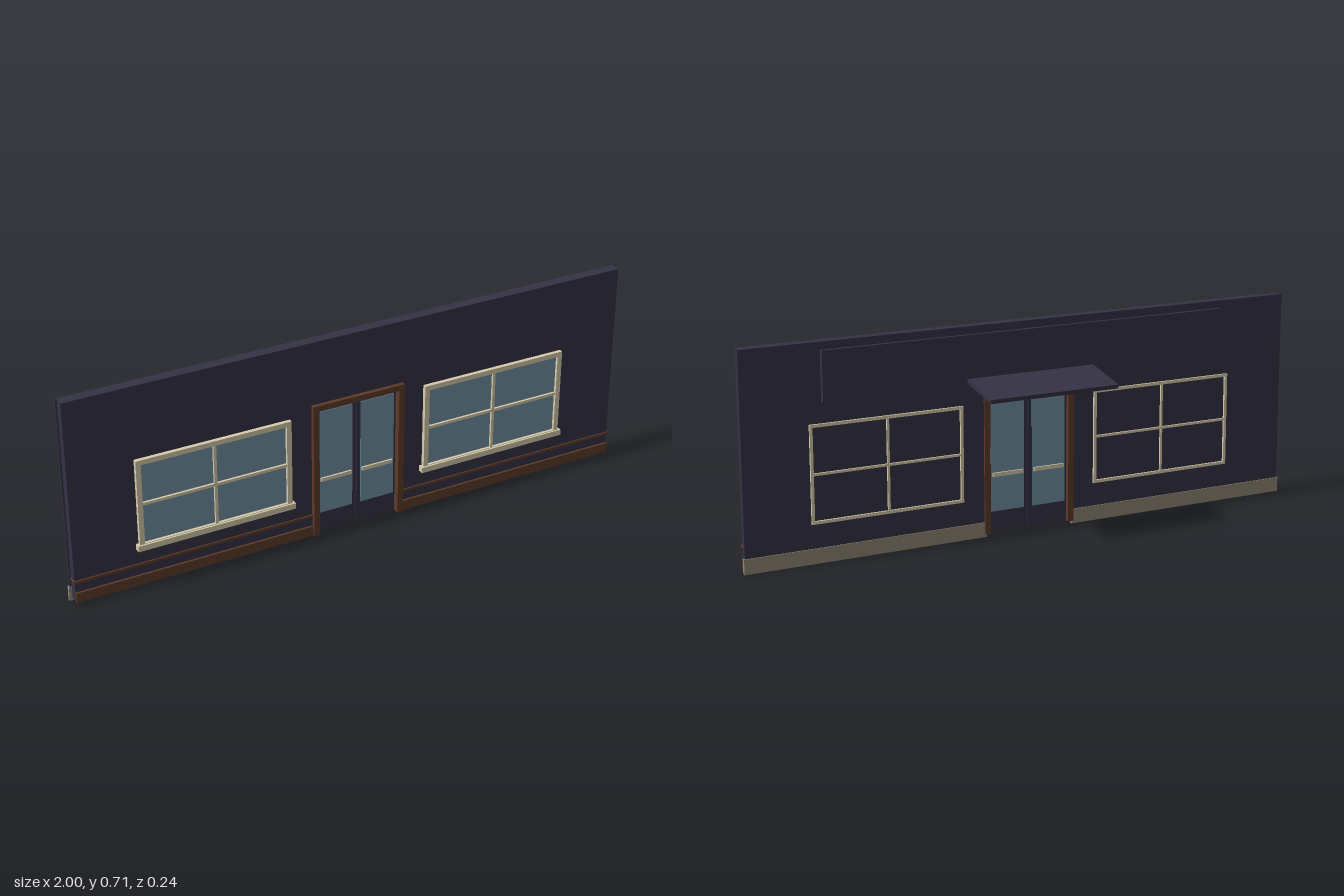
import * as THREE from 'three';

const mat = (name, color) => {
  const m = new THREE.MeshStandardMaterial({ color });
  m.name = name;
  return m;
};

export function createModel() {
  const wall = mat('dark wall', 0x343244);
  const brown = mat('brown wood', 0x5c3a28);
  const cream = mat('cream trim', 0xd6cbac);
  const glass = mat('blue glass', 0x7492a6);
  const stone = mat('stone base', 0x8f8674);

  const root = new THREE.Group();
  root.name = 'storefrontWall';

  // Box given by its limits on each axis
  const box = (parent, name, m, x0, x1, y0, y1, z0, z1) => {
    const mesh = new THREE.Mesh(new THREE.BoxGeometry(x1 - x0, y1 - y0, z1 - z0), m);
    mesh.position.set((x0 + x1) / 2, (y0 + y1) / 2, (z0 + z1) / 2);
    mesh.name = name;
    parent.add(mesh);
    return mesh;
  };
  const group = (name) => {
    const g = new THREE.Group();
    g.name = name;
    root.add(g);
    return g;
  };

  // Wall layers with the door opening cut out of the bottom edge
  const wallLayer = (name, w, z0, z1) => {
    const pts = [[-w, 0.01], [-0.15, 0.01], [-0.15, 0.475], [0.15, 0.475], [0.15, 0.01],
      [w, 0.01], [w, 0.71], [-w, 0.71]];
    const shape = new THREE.Shape(pts.map(([x, y]) => new THREE.Vector2(x, y)));
    const mesh = new THREE.Mesh(
      new THREE.ExtrudeGeometry(shape, { depth: z1 - z0, bevelEnabled: false }), wall);
    mesh.position.z = z0;
    mesh.name = name;
    root.add(mesh);
  };
  wallLayer('innerWall', 0.99, 0.07, 0.1);
  wallLayer('outerWall', 0.996, 0.063, 0.07);

  // Rectangular frame with a cross of glazing bars
  const windowFrame = (g, x0, x1, y0, y1, z0, z1, t, bar) => {
    const cx = (x0 + x1) / 2, cy = (y0 + y1) / 2;
    box(g, 'frameLeft', cream, x1 - t, x1, y0, y1, z0, z1);
    box(g, 'frameRight', cream, x0, x0 + t, y0, y1, z0, z1);
    box(g, 'frameTop', cream, x0 + t, x1 - t, y1 - t, y1, z0, z1);
    box(g, 'frameBottom', cream, x0 + t, x1 - t, y0, y0 + t, z0, z1);
    box(g, 'verticalBar', cream, cx - bar, cx + bar, y0 + t, y1 - t, z0, z1 - 0.002);
    box(g, 'horizontalBar', cream, x0 + t, x1 - t, cy - bar, cy + bar, z0, z1 - 0.002);
  };

  for (const s of [-1, 1]) {
    const side = s > 0 ? 'left' : 'right';
    const c = s * 0.508;

    // Front window with glass and sill
    const front = group(side + 'FrontWindow');
    windowFrame(front, c - 0.265, c + 0.265, 0.145, 0.46, 0.1, 0.114, 0.017, 0.005);
    box(front, 'glass', glass, c - 0.25, c + 0.25, 0.16, 0.446, 0.099, 0.104);
    box(front, 'sill', cream, c - 0.274, c + 0.274, 0.14, 0.16, 0.1, 0.12);

    // Thin window trim on the back
    const back = group(side + 'BackWindow');
    windowFrame(back, c - 0.265, c + 0.265, 0.13, 0.452, 0.056, 0.064, 0.01, 0.004);

    // Skirting, rail and stone base, each stopping at the door
    const run = (name, m, end, y0, y1, z0, z1) =>
      box(root, name, m, s > 0 ? 0.16 : -end, s > 0 ? end : -0.16, y0, y1, z0, z1);
    run(side + 'Skirting', brown, 0.99, 0.01, 0.045, 0.099, 0.108);
    run(side + 'Rail', brown, 0.993, 0.078, 0.087, 0.0715, 0.105);
    run(side + 'StoneBase', stone, 1, 0, 0.05, 0.0595, 0.0715);
  }

  // Door frame
  const door = group('door');
  for (const s of [-1, 1]) {
    const jamb = s > 0 ? [0.145, 0.166] : [-0.166, -0.145];
    box(door, 'jamb', brown, ...jamb, 0.01, 0.49, 0.057, 0.115);
  }
  box(door, 'head', brown, -0.145, 0.145, 0.47, 0.49, 0.057, 0.115);

  // Door leaves with glass and a push bar on both faces
  for (const s of [-1, 1]) {
    const span = (a, b) => (s > 0 ? [a, b] : [-b, -a]);
    box(door, 'leaf', wall, ...span(0.001, 0.145), 0.012, 0.47, 0.072, 0.092);
    for (const [z0, z1, b0, b1] of [[0.092, 0.094, 0.094, 0.1], [0.07, 0.072, 0.064, 0.07]]) {
      box(door, 'glass', glass, ...span(0.015, 0.138), 0.08, 0.455, z0, z1);
      box(door, 'pushBar', cream, ...span(0.02, 0.132), 0.199, 0.212, b0, b1);
    }
  }

  // Sign board and sloping canopy over the door, on the back
  box(root, 'signBoard', wall, -0.73, 0.73, 0.52, 0.685, 0.046, 0.061);
  const canopy = box(root, 'canopy', wall, -0.232, 0.232, 0.51, 0.524, -0.119, 0.05);
  canopy.position.set(0, 0.518, -0.035);
  canopy.rotation.x = -0.21;

  return root;
}
